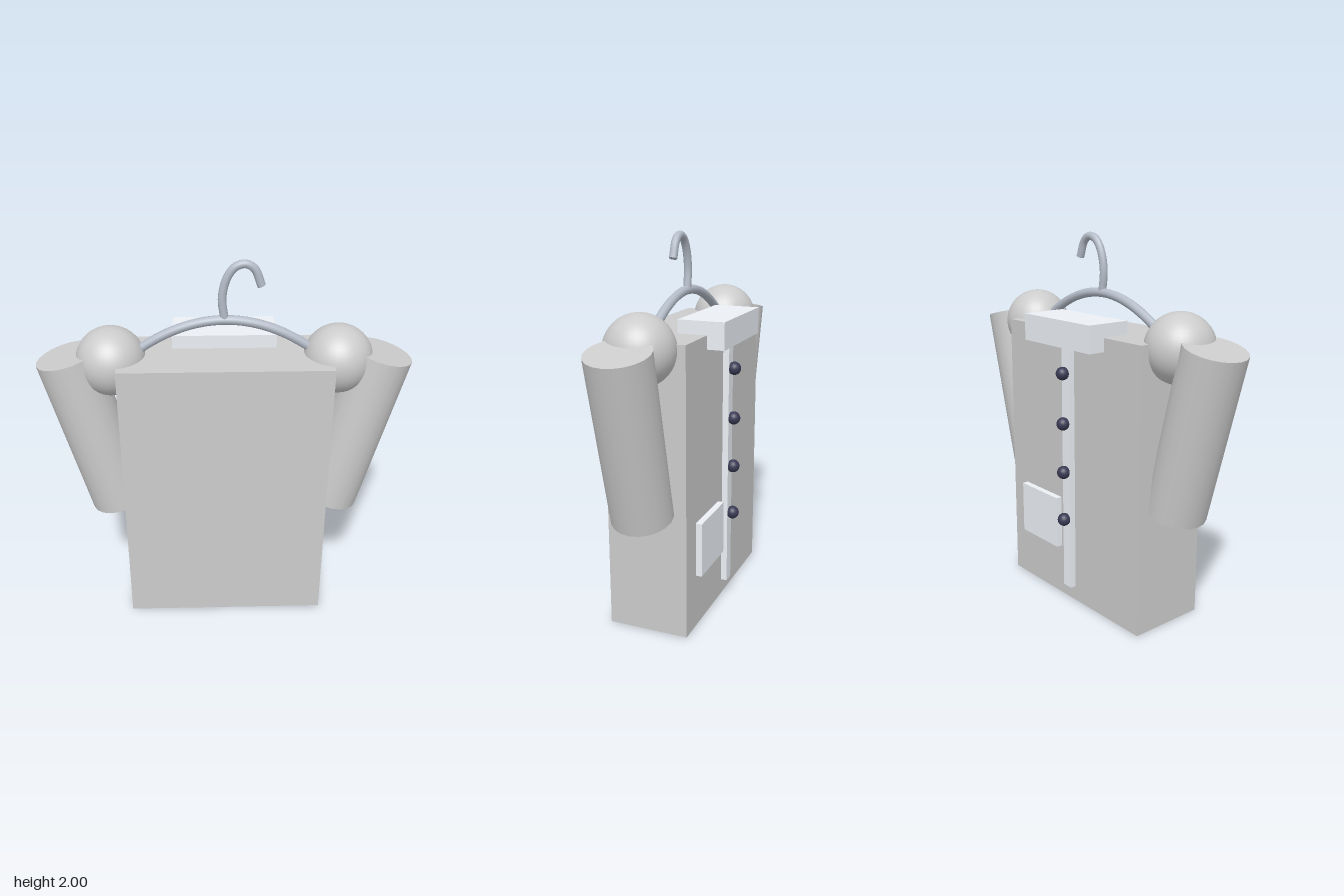
import * as THREE from 'three';

const Z = 0.045; // middle plane of the garment

export function createModel() {
  const group = new THREE.Group();
  const cloth = new THREE.MeshStandardMaterial({ color: 0xcccccc });
  const trim = new THREE.MeshStandardMaterial({ color: 0xecf0f5 });
  const metal = new THREE.MeshStandardMaterial({ color: 0xb4bcc8 });
  const dark = new THREE.MeshStandardMaterial({ color: 0x3a3a55 });

  const add = (name, geometry, material, x = 0, y = 0, z = 0) => {
    const mesh = new THREE.Mesh(geometry, material);
    mesh.name = name;
    mesh.position.set(x, y, z);
    group.add(mesh);
    return mesh;
  };
  const box = (name, material, x0, x1, y0, y1, z0, z1) =>
    add(name, new THREE.BoxGeometry(x1 - x0, y1 - y0, z1 - z0), material,
      (x0 + x1) / 2, (y0 + y1) / 2, (z0 + z1) / 2);

  // Torso and the trim on its buttoned side
  box('torso', cloth, -0.535, 0.535, 0, 1.515, -0.17, 0.26);
  box('collar', trim, -0.267, 0.267, 1.445, 1.585, -0.262, -0.015);
  box('placket', trim, -0.031, 0.031, 0.085, 1.445, -0.203, -0.16);
  box('pocket', trim, 0.09, 0.41, 0.29, 0.58, -0.203, -0.16);
  for (let i = 0; i < 4; i++) {
    add('button', new THREE.SphereGeometry(0.035, 20, 14), dark, 0, 1.3 - i * 0.27, -0.222);
  }

  // Shoulders and slanted sleeves
  for (const [side, s] of [['left', 1], ['right', -1]]) {
    add(side + 'Shoulder', new THREE.SphereGeometry(0.177, 32, 24), cloth, s * 0.575, 1.483, Z);
    const sleeve = add(side + 'Sleeve', new THREE.CylinderGeometry(0.16, 0.157, 0.892, 20),
      cloth, s * 0.688, 1.081, Z);
    sleeve.rotation.z = -s * 0.247;
  }

  // Hanger bar and hook
  const bar = new THREE.QuadraticBezierCurve3(
    new THREE.Vector3(-0.5, 1.49, Z), new THREE.Vector3(0, 1.9, Z), new THREE.Vector3(0.5, 1.49, Z));
  add('hangerBar', new THREE.TubeGeometry(bar, 40, 0.024, 12), metal);

  const hook = new THREE.CatmullRomCurve3([
    [0, 1.69], [-0.013, 1.81], [0.01, 1.91], [0.05, 1.965], [0.1, 1.98], [0.143, 1.955], [0.178, 1.87],
  ].map(([x, y]) => new THREE.Vector3(x, y, Z)));
  add('hangerHook', new THREE.TubeGeometry(hook, 48, 0.021, 12), metal);
  // Flat end of the hook
  const tip = add('hookTip', new THREE.CircleGeometry(0.021, 12), metal);
  tip.position.copy(hook.getPoint(1));
  tip.quaternion.setFromUnitVectors(new THREE.Vector3(0, 0, 1), hook.getTangent(1));

  return group;
}
